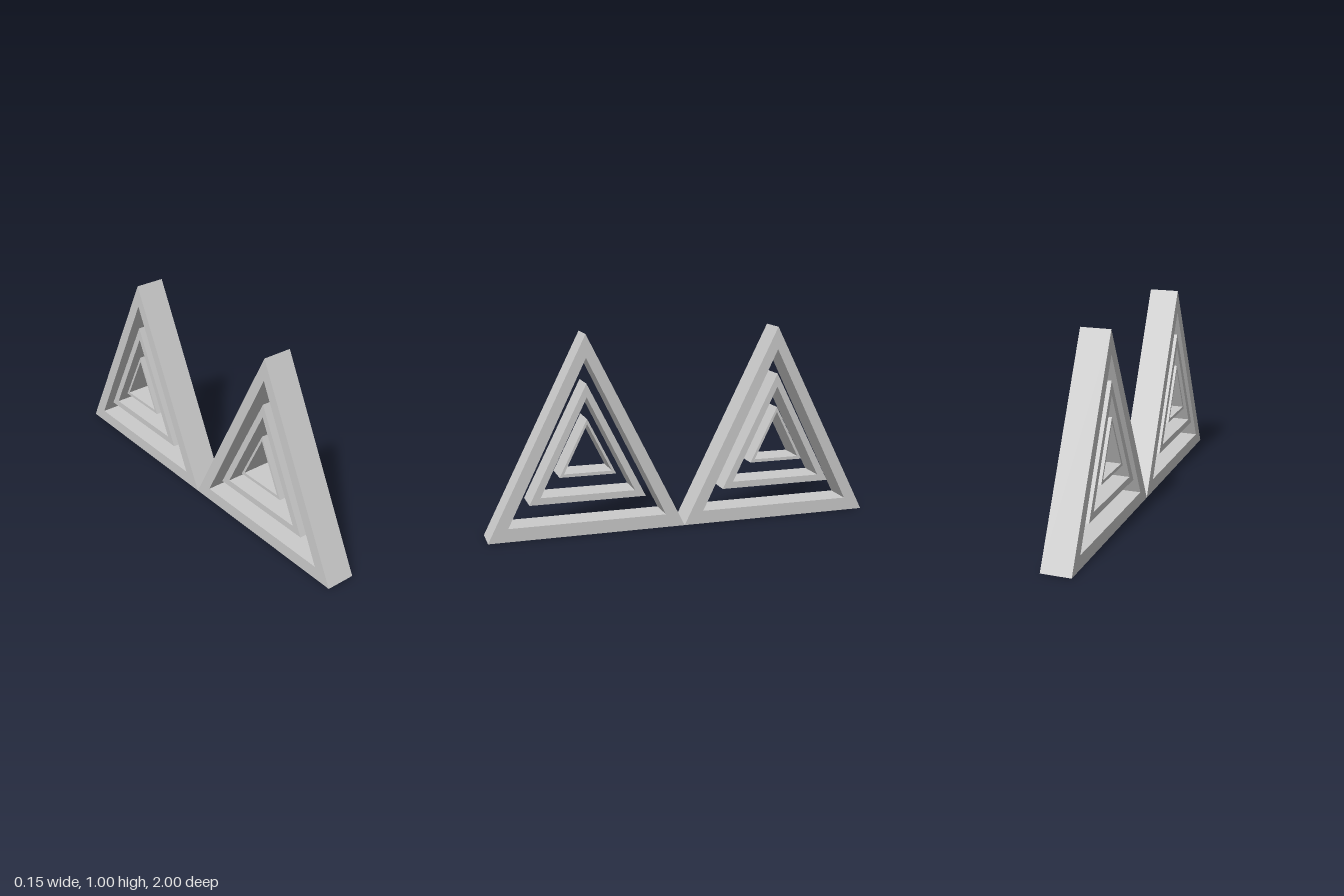
import * as THREE from 'three';

const DEPTH = 0.152;

// Nested frames: [half width, base y, apex y] of the outline and of its opening
const FRAMES = [
  { name: 'outerFrame', outline: [0.5, 0, 1], opening: [0.4, 0.067, 0.885] },
  { name: 'middleFrame', outline: [0.294, 0.174, 0.76], opening: [0.238, 0.208, 0.692] },
  { name: 'innerFrame', outline: [0.142, 0.302, 0.586], opening: [0.12, 0.318, 0.56] },
];

function trace(path, [half, base, apex]) {
  path.moveTo(-half, base);
  path.lineTo(half, base);
  path.lineTo(0, apex);
  path.closePath();
  return path;
}

// Triangular frame extruded across the model's thickness (along x)
function frameGeometry({ outline, opening }) {
  const shape = trace(new THREE.Shape(), outline);
  shape.holes.push(trace(new THREE.Path(), opening));
  return new THREE.ExtrudeGeometry(shape, { depth: DEPTH, bevelEnabled: false })
    .translate(0, 0, -DEPTH / 2)
    .rotateY(Math.PI / 2);
}

export function createModel() {
  const model = new THREE.Group();
  model.name = 'twinTriangles';
  const material = new THREE.MeshStandardMaterial({ color: 0xcccccc, flatShading: true });
  const geometries = FRAMES.map(frameGeometry);

  // Two identical sets of nested triangles, touching at their base corners
  for (const [name, z] of [['frontTriangle', 0.5], ['backTriangle', -0.5]]) {
    const triangle = new THREE.Group();
    triangle.name = name;
    triangle.position.z = z;
    FRAMES.forEach((frame, i) => {
      const mesh = new THREE.Mesh(geometries[i], material);
      mesh.name = frame.name;
      triangle.add(mesh);
    });
    model.add(triangle);
  }
  return model;
}
